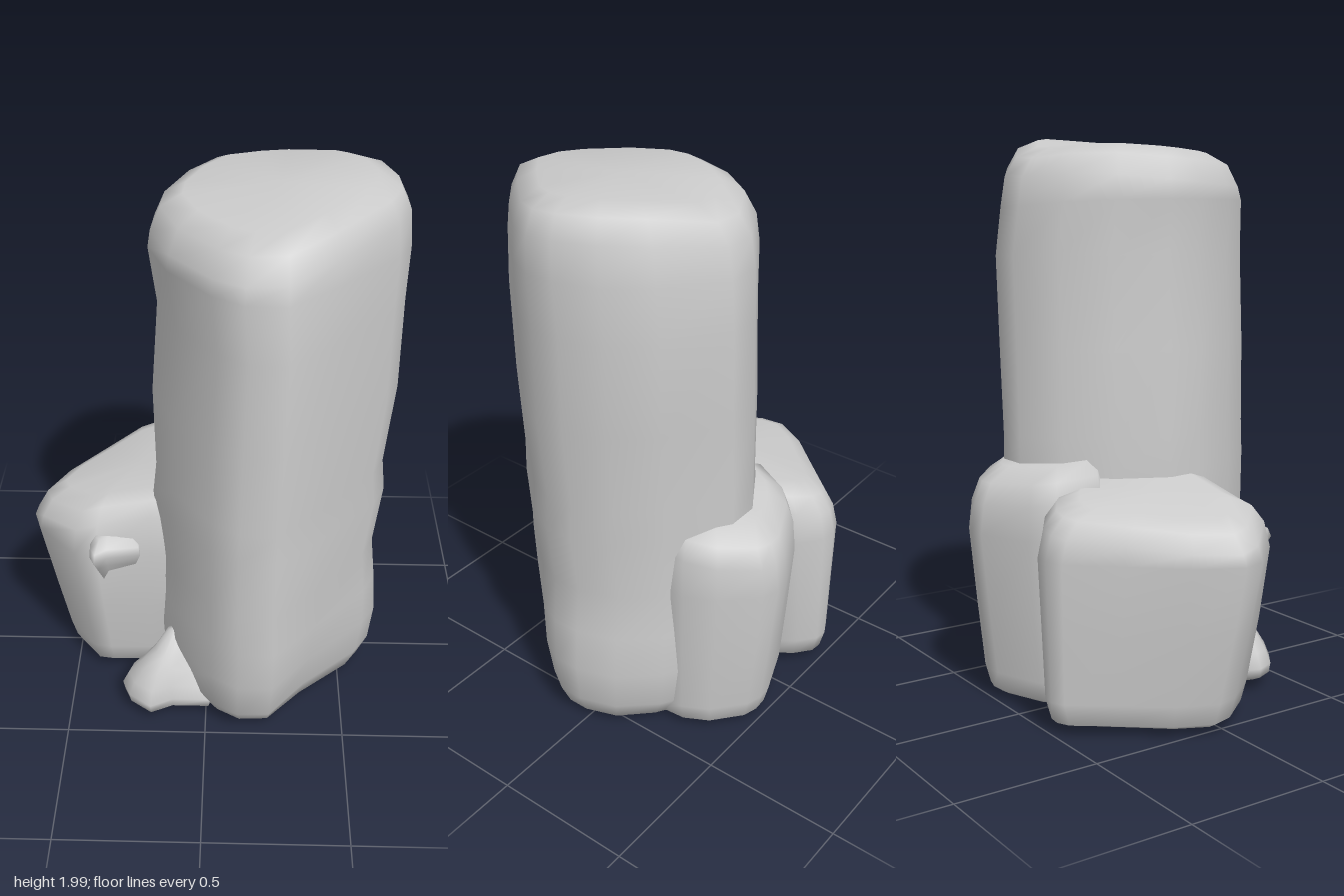
import * as THREE from 'three';

// Loft a plan outline [x, z] (front > right > back > left) through levels
// [y, scaleX, scaleZ, shiftX, shiftZ], tilting the levels above tiltFrom.
// Each dent [x, y, z, radius, dx, dy, dz] softly pushes the surface.
function loftRock(outline, [cx, cz], levels, tilt = [0, 0], tiltFrom = Infinity, dents = []) {
  const n = outline.length, pos = [], index = [];
  const put = (x, y, z) => {
    const lean = y >= tiltFrom ? tilt[0] * (x - cx) + tilt[1] * (z - cz) : 0;
    const p = new THREE.Vector3(x, y + lean, z), moved = p.clone();
    for (const [dx, dy, dz, r, mx, my, mz] of dents) {
      const d = p.distanceTo(new THREE.Vector3(dx, dy, dz)) / r;
      moved.addScaledVector(new THREE.Vector3(mx, my, mz), Math.exp(-d * d));
    }
    pos.push(moved.x, moved.y, moved.z);
  };
  for (const [y, sx, sz = sx, dx = 0, dz = 0] of levels) {
    for (const [x, z] of outline) put(cx + (x - cx) * sx + dx, y, cz + (z - cz) * sz + dz);
  }
  const last = levels.length - 1;
  for (let i = 0; i < last; i++) {
    for (let j = 0; j < n; j++) {
      const a = i * n + j, b = i * n + (j + 1) % n;
      index.push(a, b, b + n, a, b + n, a + n);
    }
  }
  // Close the bottom and top
  const bottom = pos.length / 3, top = bottom + 1;
  for (const [y, , , dx = 0, dz = 0] of [levels[0], levels[last]]) put(cx + dx, y, cz + dz);
  for (let j = 0; j < n; j++) {
    const k = (j + 1) % n;
    index.push(bottom, k, j, top, last * n + j, last * n + k);
  }
  const geometry = new THREE.BufferGeometry();
  geometry.setAttribute('position', new THREE.Float32BufferAttribute(pos, 3));
  geometry.setIndex(index);
  geometry.computeVertexNormals();
  return geometry;
}

export function createModel() {
  const group = new THREE.Group();
  group.name = 'rockFormation';
  const stone = new THREE.MeshStandardMaterial({ color: 0xcccccc });
  stone.name = 'grey stone';
  const add = (name, geometry) => {
    const mesh = new THREE.Mesh(geometry, stone);
    mesh.name = name;
    group.add(mesh);
  };

  // Tall pillar with a rounded diamond plan
  add('pillar', loftRock(
    [[0.12, 0.555], [0.25, 0.56], [0.41, 0.41], [0.6, 0.2], [0.645, 0.1], [0.64, 0],
      [0.59, -0.14], [0.475, -0.265], [0.27, -0.4], [0.15, -0.4], [0, -0.31], [-0.1, -0.16],
      [-0.18, 0.02], [-0.19, 0.14], [-0.12, 0.32], [0.02, 0.49]],
    [0.225, 0.08],
    [[0.005, 0.68, 0.62], [0.035, 0.86, 0.82], [0.12, 0.95, 0.95], [0.27, 0.98, 1],
      [0.43, 0.955, 1, -0.005], [0.6, 0.93, 1, -0.015], [0.83, 0.98, 1, -0.01],
      [0.95, 0.95, 1, -0.01], [1.25, 0.99, 1], [1.58, 0.96, 1, 0.01], [1.77, 1, 0.97],
      [1.86, 0.98, 0.94], [1.935, 0.9, 0.85], [1.97, 0.73, 0.68, 0, 0]],
    [0.07, -0.07], 1.8,
    // Hollow in the lower front, swelling at the back, sloping back rim
    [[0.42, 0.12, 0.36, 0.28, -0.04, 0, -0.04], [0.53, 1.55, -0.2, 0.35, 0.012, 0, -0.018],
      [0.22, 1.97, -0.36, 0.24, 0, -0.055, 0]]));

  // Stone leaning on the left of the pillar
  add('sideStone', loftRock(
    [[-0.65, -0.02], [-0.62, 0.07], [-0.48, 0.22], [-0.4, 0.23], [-0.2, 0.225], [0, 0.22],
      [0.1, 0], [0, -0.36], [-0.08, -0.455], [-0.16, -0.51], [-0.22, -0.515],
      [-0.28, -0.49], [-0.42, -0.335], [-0.57, -0.17]],
    [-0.25, -0.1],
    [[0.03, 0.66, 0.72, 0, -0.02], [0.045, 0.72, 0.86, 0, -0.025], [0.12, 0.77, 0.91, 0, -0.025],
      [0.35, 0.88, 0.96, 0, -0.01], [0.6, 1, 1], [0.71, 0.96, 0.95],
      [0.765, 0.87, 0.84], [0.79, 0.7, 0.64]],
    [0.2, 0.08], 0.65,
    [[-0.3, 0.72, 0.2, 0.13, 0, 0, -0.04]]));

  // Stone leaning on the back of the pillar
  add('backStone', loftRock(
    [[0.43, -0.32], [0.38, -0.43], [0.27, -0.54], [0.21, -0.56], [0.15, -0.555],
      [-0.03, -0.47], [-0.1, -0.4], [-0.16, -0.25], [0.2, 0], [0.44, -0.18]],
    [0.15, -0.25],
    [[0.025, 0.8, 0.68], [0.04, 0.9, 0.76], [0.11, 0.96, 0.82], [0.35, 0.98, 0.91],
      [0.62, 1, 1], [0.77, 0.97, 0.96], [0.84, 0.88, 0.87], [0.88, 0.66, 0.62]],
    [0, 0.16], 0.7));

  // Small pointed stone at the front foot
  add('footStone', loftRock(
    [[-0.31, 0.33], [-0.28, 0.4], [-0.2, 0.46], [-0.12, 0.42], [0.02, 0.42],
      [0.02, 0.25], [-0.17, 0.22], [-0.29, 0.27]],
    [-0.17, 0.34],
    [[0.035, 0.65], [0.055, 0.95], [0.09, 1], [0.14, 0.83], [0.2, 0.56, 0.56, 0.01],
      [0.25, 0.36, 0.36, 0.03, -0.02], [0.32, 0.15, 0.15, 0.05, -0.05]]));

  // Chipped nub on the front of the side stone
  add('nub', loftRock(
    [[-0.42, 0.25], [-0.4, 0.29], [-0.36, 0.255], [-0.24, 0.235], [-0.24, 0.1], [-0.43, 0.12]],
    [-0.35, 0.16],
    [[0.48, 0.5, 0.4], [0.56, 0.85, 0.75], [0.61, 1], [0.64, 0.95, 0.9], [0.67, 0.7, 0.5]]));

  return group;
}
